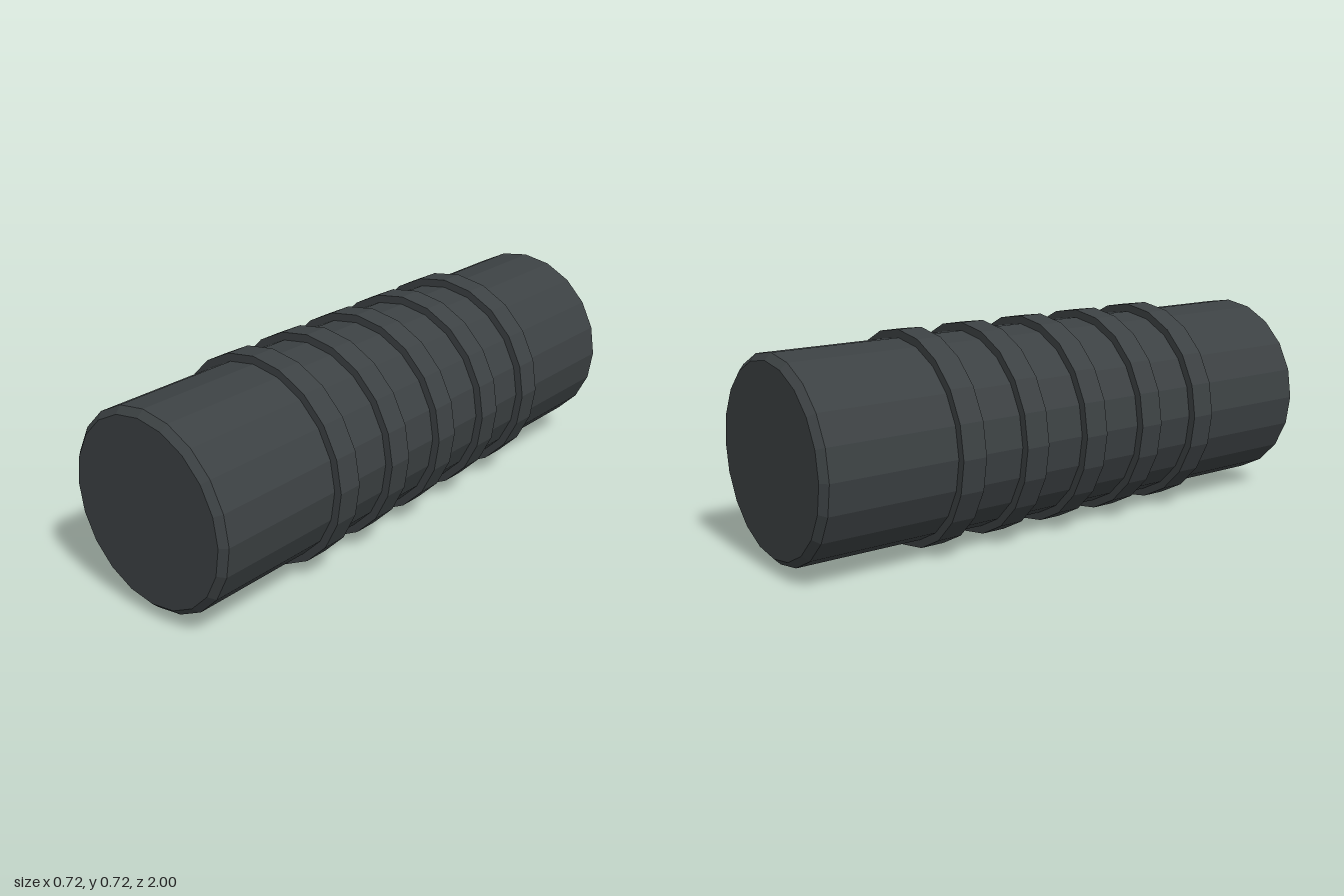
import * as THREE from 'three';

const SIDES = 20;
const AXIS_Y = 0.36;

export function createModel() {
  const group = new THREE.Group();
  group.name = 'ribbedCylinder';
  const material = new THREE.MeshStandardMaterial({ color: 0x3c4143, flatShading: true });

  // Turn a y-axis solid to lie along z, resting on its ribs
  function addPart(name, geometry, z = 0) {
    geometry.rotateX(Math.PI / 2);
    const mesh = new THREE.Mesh(geometry, material);
    mesh.name = name;
    mesh.position.set(0, AXIS_Y, z);
    group.add(mesh);
  }

  // Main barrel with chamfered closed ends
  const profile = [
    [0, -1], [0.311, -1], [0.333, -0.978],
    [0.333, 0.978], [0.311, 1], [0, 1],
  ].map(([r, y]) => new THREE.Vector2(r, y));
  addPart('barrel', new THREE.LatheGeometry(profile, SIDES));

  // Five raised ribs around the middle
  for (let i = -2; i <= 2; i++) {
    addPart(`rib${i + 3}`, new THREE.CylinderGeometry(0.36, 0.36, 0.086, SIDES), i * 0.245);
  }

  return group;
}
